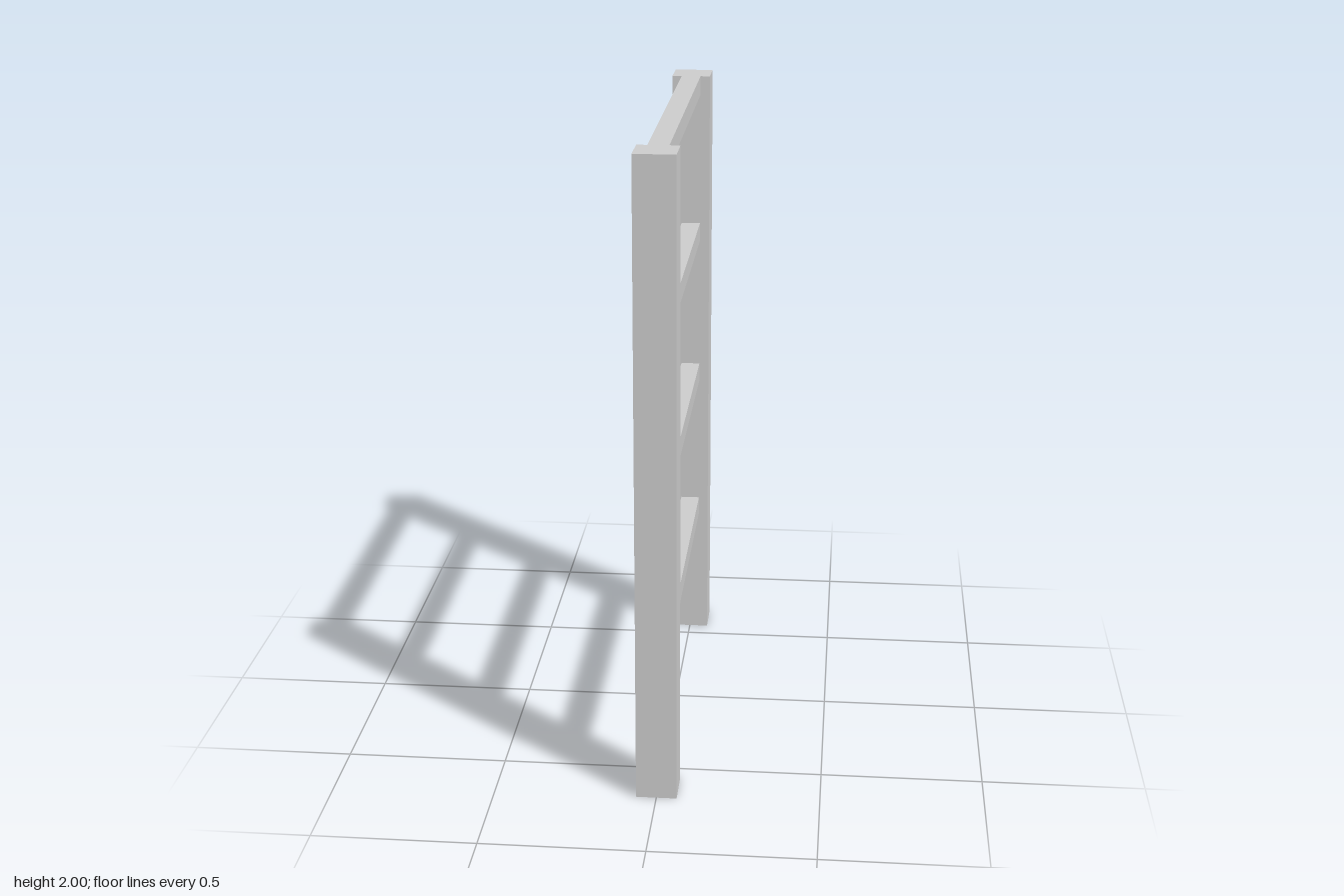
import * as THREE from 'three';

const HEIGHT = 2;
const POST = 0.125;        // square post thickness
const RUNG = 0.0625;       // square rung thickness
const SPAN = 1.125;        // clear gap between the posts
const RUNG_COUNT = 4;

export function createModel() {
  const group = new THREE.Group();
  group.name = 'ladder';
  const material = new THREE.MeshStandardMaterial({ color: 0xcccccc, flatShading: true });

  const addBox = (name, w, h, d, y, z) => {
    const mesh = new THREE.Mesh(new THREE.BoxGeometry(w, h, d), material);
    mesh.name = name;
    mesh.position.set(0, y, z);
    group.add(mesh);
  };

  // Two upright posts, front and back
  for (const side of [1, -1]) {
    addBox(side > 0 ? 'frontPost' : 'backPost', POST, HEIGHT, POST, HEIGHT / 2, side * (SPAN + POST) / 2);
  }

  // Evenly spaced rungs, the highest flush with the post tops
  for (let i = 1; i <= RUNG_COUNT; i++) {
    addBox(`rung${i}`, RUNG, RUNG, SPAN, (i * HEIGHT) / RUNG_COUNT - RUNG / 2, 0);
  }

  return group;
}
